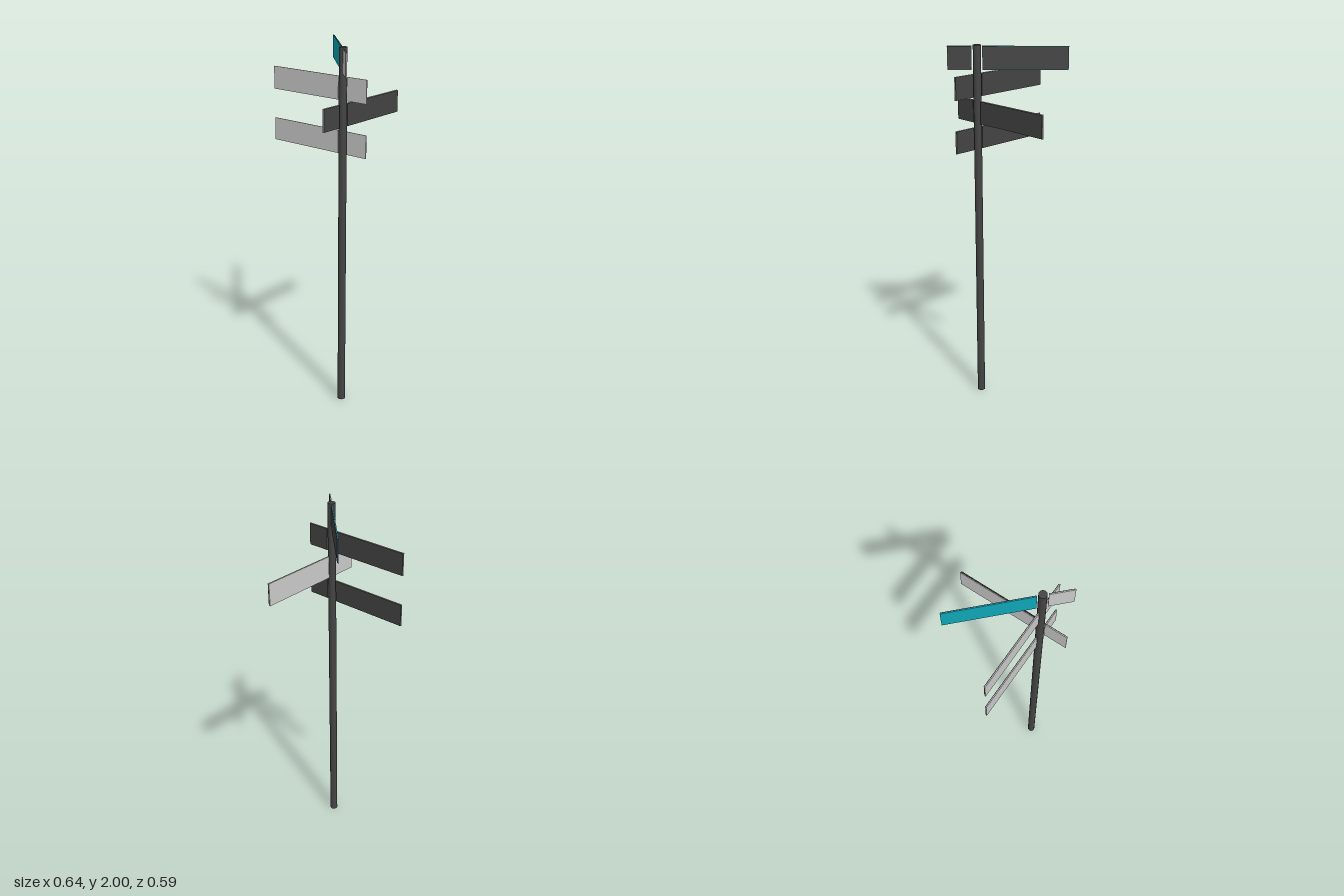
import * as THREE from 'three';

const light = new THREE.MeshStandardMaterial({ color: 0xcccccc });
const dark = new THREE.MeshStandardMaterial({ color: 0x444444 });
const teal = new THREE.MeshStandardMaterial({ color: 0x10a8b8 });

const HEIGHT = 0.122;

// One blade: a face plate with a slightly smaller dark backing plate behind it
function blade(name, from, to, faceMaterial, gap = 0) {
  const group = new THREE.Group();
  group.name = name;
  const length = Math.abs(to - from);
  const middle = (from + to) / 2;
  const inset = 0.004;

  const face = new THREE.Mesh(new THREE.BoxGeometry(length, HEIGHT, 0.004), faceMaterial);
  face.name = 'facePlate';
  face.position.set(middle, 0, 0.002);

  const back = new THREE.Mesh(new THREE.BoxGeometry(length - inset, HEIGHT - inset, 0.004), dark);
  back.name = 'backPlate';
  back.position.set(middle, 0, -0.002 - gap);

  group.add(face, back);
  return group;
}

export function createModel() {
  const model = new THREE.Group();
  model.name = 'signpost';

  // Everything is arranged around the pole axis
  const post = new THREE.Group();
  post.name = 'post';
  post.position.set(0.105, 0, 0.149);
  model.add(post);

  const pole = new THREE.Mesh(new THREE.CylinderGeometry(0.021, 0.021, 2, 24), dark);
  pole.name = 'pole';
  pole.position.y = 1;
  post.add(pole);

  // Signs from top to bottom, each with a long and a short blade
  const signs = [
    { y: 1.933, angle: -71.2, face: teal, gap: 0 },
    { y: 1.793, angle: -26.4, face: light, gap: 0 },
    { y: 1.652, angle: -116.4, face: light, gap: 0.003 },
    { y: 1.513, angle: -26.4, face: light, gap: 0 },
  ];
  signs.forEach(({ y, angle, face, gap }, i) => {
    const sign = new THREE.Group();
    sign.name = `sign${i + 1}`;
    sign.position.y = y;
    sign.rotation.y = THREE.MathUtils.degToRad(angle);
    sign.add(
      blade('longBlade', -0.027, -0.47, face, gap),
      blade('shortBlade', 0.028, 0.153, light),
    );
    post.add(sign);
  });

  return model;
}
